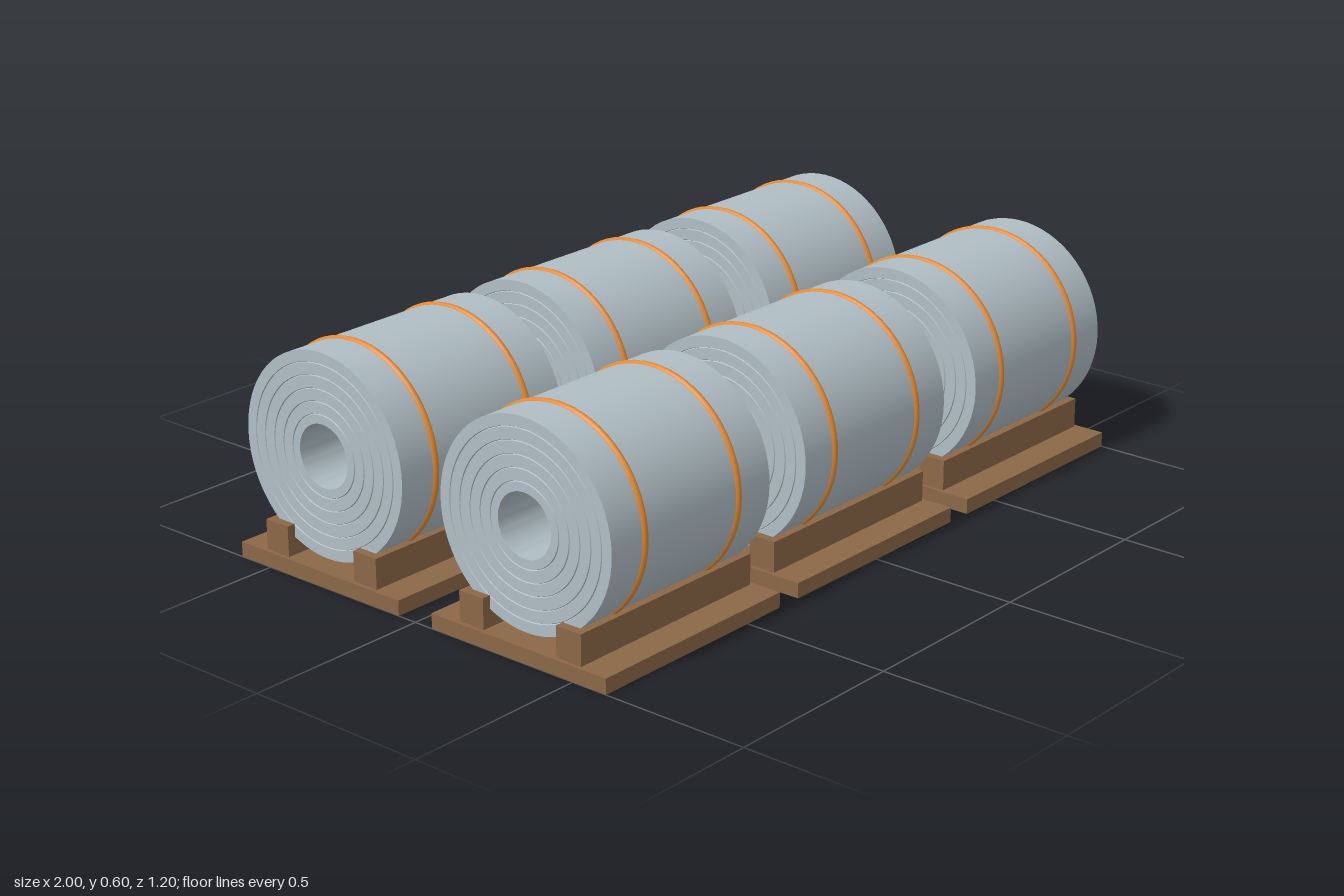
import * as THREE from 'three';
import { toCreasedNormals } from 'three/addons/utils/BufferGeometryUtils.js';

const RADIUS = 0.265, BORE = 0.082, HALF = 0.277, AXIS_Y = 0.325;

// Hollow coil with fine V grooves between the wound layers on both ends
function coilGeometry() {
  const topEnd = [[RADIUS, HALF]];
  for (const r of [0.235, 0.203, 0.17, 0.138, 0.106]) {
    topEnd.push([r + 0.0015, HALF], [r, HALF - 0.003], [r - 0.0015, HALF]);
  }
  topEnd.push([BORE, HALF]);
  const bottomEnd = topEnd.map(([r, y]) => [r, -y]).reverse();
  const profile = [...topEnd, ...bottomEnd, topEnd[0]].map(([r, y]) => new THREE.Vector2(r, y));
  const geometry = toCreasedNormals(new THREE.LatheGeometry(profile, 64), 0.5);
  return geometry.rotateZ(-Math.PI / 2);
}

export function createModel() {
  const model = new THREE.Group();
  model.name = 'coilStorage';
  const steel = new THREE.MeshStandardMaterial({ color: 0xb0bec5 });
  const orange = new THREE.MeshStandardMaterial({ color: 0xe68a2e });
  const wood = new THREE.MeshStandardMaterial({ color: 0x8b6847 });

  const coilGeo = coilGeometry();
  const strapGeo = new THREE.TorusGeometry(0.26, 0.011, 10, 64).rotateY(Math.PI / 2);
  const baseGeo = new THREE.BoxGeometry(0.62, 0.04, 0.546);
  const chockGeo = new THREE.BoxGeometry(0.6, 0.08, 0.076);

  const add = (parent, name, geometry, material, x, y, z) => {
    const mesh = new THREE.Mesh(geometry, material);
    mesh.name = name;
    mesh.position.set(x, y, z);
    parent.add(mesh);
  };

  // Three columns by two rows of cradled coils
  for (const x of [-0.69, 0, 0.69]) {
    for (const z of [-0.328, 0.328]) {
      const unit = new THREE.Group();
      unit.name = 'coilOnPallet';
      unit.position.set(x, 0, z);
      add(unit, 'palletBase', baseGeo, wood, 0, 0.02, 0);
      add(unit, 'coil', coilGeo, steel, 0, AXIS_Y, 0);
      for (const side of [-1, 1]) {
        add(unit, 'chock', chockGeo, wood, 0, 0.08, side * 0.152);
        add(unit, 'strap', strapGeo, orange, side * 0.164, AXIS_Y, 0);
      }
      model.add(unit);
    }
  }
  return model;
}
